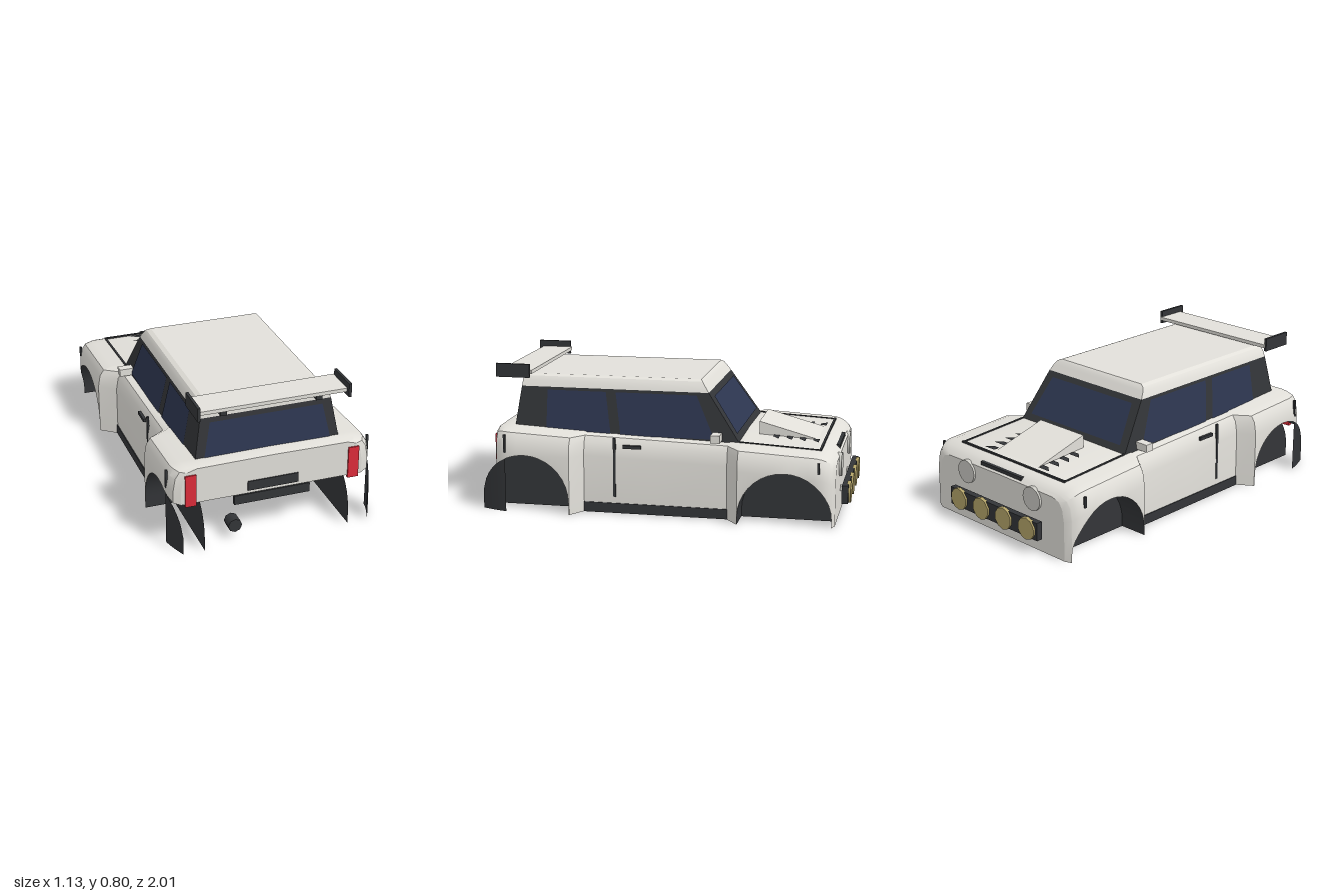
import * as THREE from 'three';
import { toCreasedNormals } from 'three/addons/utils/BufferGeometryUtils.js';

const mat = (color, side = THREE.FrontSide) => new THREE.MeshStandardMaterial({ color, side });
const PAINT = mat(0xe2e0da), DARK = mat(0x333538), GLASS = mat(0x2d3650, THREE.DoubleSide);
const LINER = mat(0x333538, THREE.DoubleSide), RED = mat(0xdd2c3a), AMBER = mat(0xb5a56a), LENS = mat(0xcbcac4);

// Piecewise linear lookup in [[z, value], ...]
function lookup(table, z) {
  if (z <= table[0][0]) return table[0][1];
  for (let i = 1; i < table.length; i++) {
    const [z0, a] = table[i - 1], [z1, b] = table[i];
    if (z <= z1) return a + ((b - a) * (z - z0)) / (z1 - z0);
  }
  return table[table.length - 1][1];
}

// Skin over rows of points
function skin(rows, crease = 0.5) {
  const pos = [];
  for (let i = 0; i < rows.length - 1; i++)
    for (let j = 0; j < rows[i].length - 1; j++) {
      const a = rows[i][j], b = rows[i][j + 1], c = rows[i + 1][j + 1], d = rows[i + 1][j];
      pos.push(...a, ...d, ...c, ...a, ...c, ...b);
    }
  const g = new THREE.BufferGeometry();
  g.setAttribute('position', new THREE.Float32BufferAttribute(pos, 3));
  g.computeVertexNormals();
  return toCreasedNormals(g, crease);
}

// Half width and top height of the body along its length
const WIDTH = [[-0.935, 0.49], [-0.92, 0.53], [-0.895, 0.552], [-0.85, 0.565], [-0.42, 0.565], [-0.35, 0.475],
  [0.44, 0.475], [0.5, 0.565], [0.85, 0.565], [0.89, 0.555], [0.915, 0.54], [0.93, 0.5]];
const TOP = [[-0.935, 0.335], [-0.9, 0.365], [-0.85, 0.386], [-0.4, 0.41], [0.5, 0.437], [0.88, 0.455], [0.93, 0.447]];
const ARCHES = [{ z: -0.67, y: 0.04, r: 0.25 }, { z: 0.755, y: 0.07, r: 0.25 }];
const archY = (a, z) => a.y + Math.sqrt(Math.max(0, a.r * a.r - (z - a.z) ** 2));

export function createModel() {
  const car = new THREE.Group();
  const add = (name, geometry, material, x = 0, y = 0, z = 0) => {
    const m = new THREE.Mesh(geometry, material);
    m.name = name;
    m.position.set(x, y, z);
    car.add(m);
    return m;
  };
  const box = (name, material, w, h, d, x, y, z) => add(name, new THREE.BoxGeometry(w, h, d), material, x, y, z);

  // Body stations: z and the height of the lower edge, following the wheel arches
  const stations = [[-0.935, 0]];
  const [front, rear] = ARCHES;
  stations.push([front.z - front.r, 0]);
  for (let i = 0; i <= 18; i++) {
    const t = (Math.PI * i) / 18;
    stations.push([front.z - front.r * Math.cos(t), front.y + front.r * Math.sin(t)]);
  }
  stations.push([front.z + front.r, 0], [-0.35, 0], [0.05, 0], [0.44, 0], [0.5, 0], [rear.z - rear.r, 0]);
  for (let i = 0; i <= 18; i++) {
    const z = rear.z - rear.r * Math.cos((Math.PI * i) / 18);
    if (z < 0.93) stations.push([z, archY(rear, z)]);
  }
  stations.push([0.93, archY(rear, 0.93)]);

  const half = ([z, yb]) => {
    const w = lookup(WIDTH, z), t = lookup(TOP, z);
    return [[w, yb, z], [w, Math.max(yb, t - 0.12), z], [w - 0.012, t - 0.05, z],
      [w - 0.035, t - 0.015, z], [w - 0.085, t, z], [0, t + 0.004, z]];
  };
  const flip = ([x, y, z]) => [-x, y, z];
  const halves = stations.map(half);
  add('body', skin(halves.map((h) => [...h.map(flip), ...h.slice(0, -1).reverse()])), PAINT);
  const last = halves[halves.length - 1], nose = halves[0];
  add('tailPanel', skin([last.map(flip), last]), PAINT);
  add('nosePanel', skin([nose, nose.map(flip)]), PAINT);
  add('underside', skin(halves.map((h) => [h[0], flip(h[0])])), DARK);

  // Cabin: dark window band and painted roof, as rings stacked in y
  const ring = (y, x, zb, zf) => [[x, y, zb], [-x, y, zb], [-x, y, zf], [x, y, zf], [x, y, zb]];
  add('windowBand', skin([ring(0.39, 0.407, 0.857, -0.417), ring(0.665, 0.36, 0.818, -0.23)], 0.1), DARK);
  add('roof', skin([ring(0.665, 0.36, 0.818, -0.23), ring(0.7, 0.347, 0.815, -0.206), ring(0.72, 0.333, 0.812, -0.192),
    ring(0.73, 0.31, 0.808, -0.18), Array(5).fill([0, 0.73, 0.3])], 0.4), PAINT);

  // Window panes lie just outside the band
  const k = (y) => (y - 0.39) / 0.275;
  const sideX = (y) => 0.407 - 0.047 * k(y) + 0.004;
  const pane = (name, [a, b, c, d]) => add(name, skin([[a, b], [d, c]]), GLASS);
  const sidePanes = {
    rearSideWindow: [[0.67, 0.43], [0.67, 0.65], [0.34, 0.65], [0.305, 0.42]],
    frontSideWindow: [[0.25, 0.42], [0.285, 0.65], [-0.165, 0.65], [-0.27, 0.42]],
  };
  for (const s of [-1, 1])
    for (const [name, pts] of Object.entries(sidePanes))
      pane(name, pts.map(([z, y]) => [s * sideX(y), y, z]));
  const outline = [[-0.35, 0.445], [-0.31, 0.64], [0.31, 0.64], [0.35, 0.445]];
  pane('rearWindow', outline.map(([x, y]) => [x, y, 0.861 - 0.039 * k(y)]));
  pane('windshield', outline.map(([x, y]) => [x, y, -0.423 + 0.187 * k(y)]));

  // Inner wheel well plates
  for (const a of ARCHES)
    for (const s of [-1, 1]) {
      const rows = [];
      for (let i = 0; i <= 20; i++) {
        const t = (Math.PI * i) / 20, z = a.z - a.r * Math.cos(t);
        rows.push([[s * 0.4, 0, z], [s * 0.4, a.y + a.r * Math.sin(t), z]]);
      }
      add('wheelWellPlate', skin(rows), LINER);
    }

  for (const s of [-1, 1]) {
    // Flaps behind the rear wheels
    const flap = [];
    for (let i = 0; i <= 8; i++) {
      const z = 0.86 + (0.143 * i) / 8, x = s * (0.562 - 0.047 * (i / 8) ** 1.3);
      flap.push([[x, 0, z], [x, archY(rear, z), z]]);
    }
    add('rearFlap', skin(flap), LINER);

    // Sides
    box('rocker', DARK, 0.02, 0.055, 0.8, s * 0.47, 0.0285, 0.04);
    box('doorSeam', DARK, 0.012, 0.33, 0.014, s * 0.472, 0.255, 0.268);
    box('doorHandle', DARK, 0.016, 0.018, 0.1, s * 0.475, 0.373, 0.17);
    box('rearSeam', DARK, 0.012, 0.1, 0.012, s * 0.558, 0.38, 0.862);
    box('frontSeam', DARK, 0.012, 0.06, 0.012, s * 0.558, 0.325, -0.85);
    box('mirror', PAINT, 0.085, 0.042, 0.05, s * 0.432, 0.436, -0.285);

    // Rear lamps and wing ends
    box('tailLamp', RED, 0.06, 0.18, 0.02, s * 0.45, 0.325, 0.928);
    box('wingEndPlate', DARK, 0.015, 0.075, 0.19, s * 0.408, 0.758, 0.852);
    box('wingSupport', DARK, 0.034, 0.042, 0.09, s * 0.26, 0.725, 0.85);

    // Hood seam, vents and headlamp
    box('hoodSeam', DARK, 0.012, 0.01, 0.44, s * 0.4, 0.398, -0.625).rotation.x = -0.054;
    for (let i = 0; i < 4; i++) {
      const z = -0.815 + 0.073 * i, y = lookup(TOP, z) + 0.008;
      add('hoodVent', skin([[[s * 0.175, y, z], [s * 0.255, y, z]],
        [[s * 0.175, y + 0.002, z + 0.034], [s * 0.215, y + 0.002, z + 0.034]]]), LINER);
    }
    add('headlamp', new THREE.CylinderGeometry(0.065, 0.065, 0.025, 20), LENS, s * 0.26, 0.283, -0.935).rotation.x = Math.PI / 2;
    box('lampBarMount', LENS, 0.03, 0.03, 0.04, s * 0.2, 0.135, -0.945);
  }

  // Hood scoop wedge
  const scoop = new THREE.Shape([[0.48, 0.4], [0.48, 0.48], [0.83, 0.385], [0.83, 0.37]].map(([z, y]) => new THREE.Vector2(z, y)));
  const scoopGeo = new THREE.ExtrudeGeometry(scoop, { depth: 0.335, bevelEnabled: false });
  scoopGeo.rotateY(Math.PI / 2);
  add('hoodScoop', scoopGeo, PAINT, -0.1675, 0, 0);
  box('hoodFrontSeam', DARK, 0.81, 0.01, 0.012, 0, 0.39, -0.843);
  box('noseSlot', DARK, 0.32, 0.02, 0.02, 0, 0.356, -0.915);

  // Lamp bar
  box('lampBar', DARK, 0.69, 0.1, 0.035, 0, 0.135, -0.972);
  for (let i = 0; i < 4; i++) {
    const lamp = add('lamp', new THREE.CylinderGeometry(0.062, 0.062, 0.02, 10), AMBER, -0.27 + 0.18 * i, 0.135, -0.99);
    lamp.rotation.x = Math.PI / 2;
  }

  // Tail details and wing
  box('rearRecess', DARK, 0.28, 0.054, 0.012, 0, 0.293, 0.93);
  box('rearStep', DARK, 0.42, 0.052, 0.02, 0, 0.214, 0.915);
  add('exhaust', new THREE.CylinderGeometry(0.038, 0.038, 0.07, 8), DARK, -0.212, 0.075, 0.91).rotation.x = Math.PI / 2;
  box('wing', PAINT, 0.81, 0.02, 0.175, 0, 0.751, 0.835);

  return car;
}
